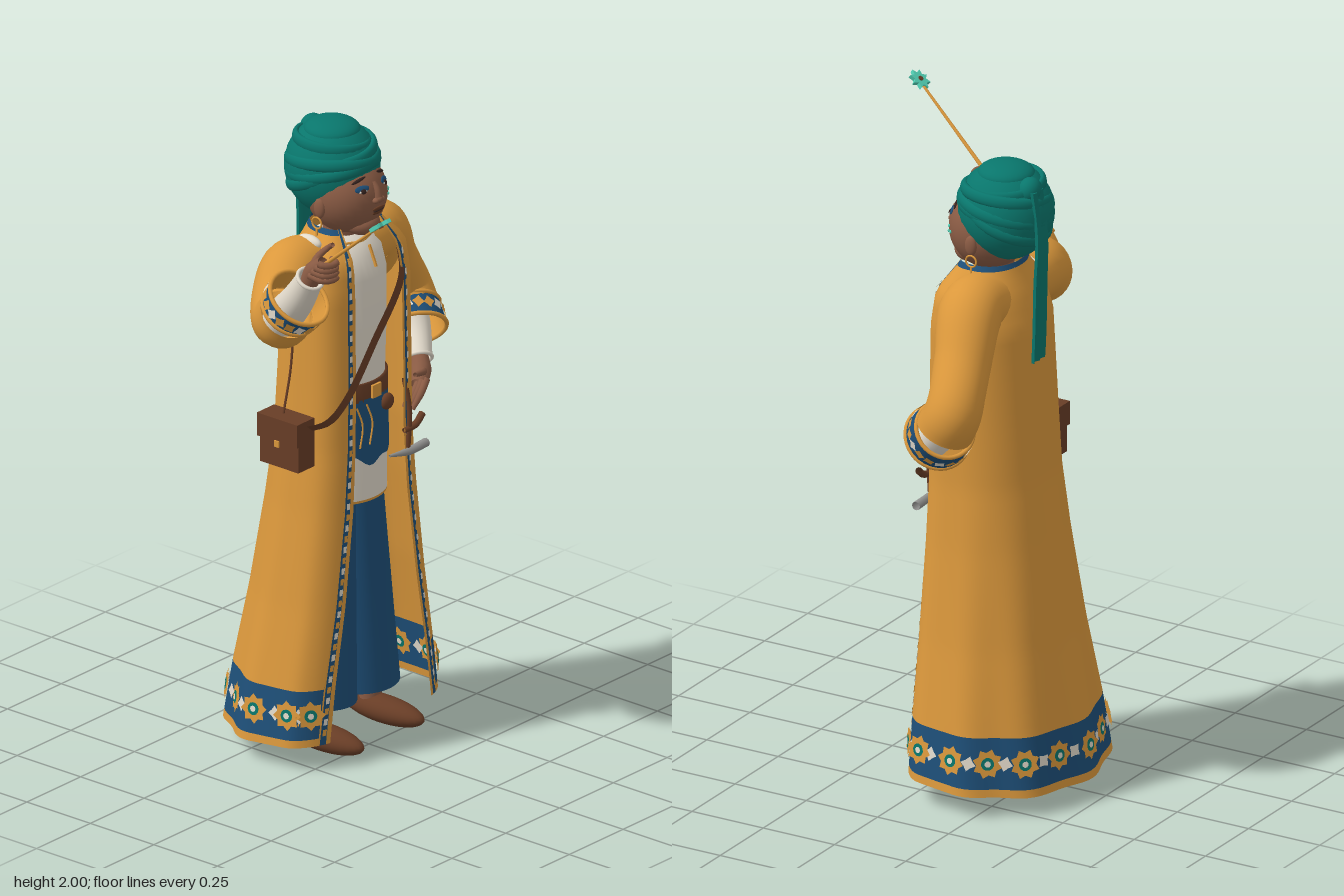
import * as THREE from 'three';

const V = (x, y, z) => new THREE.Vector3(x, y, z);
const mat = (name, color) => Object.assign(new THREE.MeshStandardMaterial({ color, side: THREE.DoubleSide }), { name });
const gold = mat('gold cloth', 0xdb983c), blue = mat('blue cloth', 0x1e4f78), teal = mat('teal cloth', 0x09766c);
const skin = mat('skin', 0x8a5b44), leather = mat('leather', 0x683d26), cream = mat('cream cloth', 0xe3dbcc);
const steel = mat('steel', 0x929290), mint = mat('mint', 0x52cfb4), dark = mat('dark', 0x33221e);

// Coat rings: y, half width, front z, back z, half opening
const RINGS = [
  [0.07, 0.355, 0.047, -0.457, 0.235], [0.25, 0.327, 0.044, -0.43, 0.21], [0.5, 0.28, 0.04, -0.385, 0.165],
  [0.8, 0.237, 0.033, -0.34, 0.125], [1.0, 0.216, 0.03, -0.315, 0.112], [1.2, 0.212, 0.03, -0.302, 0.11],
  [1.5, 0.208, 0.025, -0.283, 0.108], [1.6, 0.192, 0.012, -0.25, 0.1], [1.65, 0.14, -0.02, -0.225, 0.092], [1.69, 0.11, -0.045, -0.21, 0.085]];

// Point on the coat: u runs -1..1 from one front edge round the back to the other
function coatPoint(u, y) {
  let i = 0;
  while (i < RINGS.length - 2 && y > RINGS[i + 1][0]) i++;
  const a = RINGS[i], b = RINGS[i + 1], t = (y - a[0]) / (b[0] - a[0]);
  const [, w, zf, zb, g] = a.map((v, k) => v + (b[k] - v) * t);
  const zm = zf - 0.42 * (zf - zb);
  const phi = u * (Math.PI - Math.asin(Math.pow(g / w, 1 / 0.6)));
  const s = Math.sin(phi), c = Math.cos(phi), low = Math.max(0, 1 - y), p = c > 0 ? 0.94 + 0.08 * low : 0.6;
  const ripple = 1 + 0.03 * low * Math.cos(phi * 9) * Math.max(0, Math.min(1, c + 0.6));
  const z = zm - ripple * (c > 0 ? zm - zb : zf - zm) * Math.sign(c) * Math.abs(c) ** p;
  return V(0.02 + ripple * w * Math.sign(s) * Math.abs(s) ** p, y + 0.06 * (z + 0.2) * low * low, z);
}
function coatNormal(u, y) {
  const e = 0.004, u0 = Math.max(-1, u - e), u1 = Math.min(1, u + e);
  const du = coatPoint(u1, y).sub(coatPoint(u0, y));
  const dy = coatPoint(u, Math.min(1.69, y + e)).sub(coatPoint(u, Math.max(0.07, y - e)));
  const n = dy.cross(du).normalize(), p = coatPoint(u, y);
  return n.x * (p.x - 0.02) + n.z * (p.z + 0.15) < 0 ? n.negate() : n;
}

export function createModel() {
  const model = new THREE.Group();
  model.name = 'robedFigure';
  const add = (name, geo, m, x = 0, y = 0, z = 0, parent = model) => {
    const o = new THREE.Mesh(geo, m);
    o.name = name;
    o.position.set(x, y, z);
    parent.add(o);
    return o;
  };
  const ball = (name, m, x, y, z, rx, ry = rx, rz = rx) => {
    const o = add(name, new THREE.SphereGeometry(1, 28, 20), m, x, y, z);
    o.scale.set(rx, ry, rz);
    return o;
  };
  const box = (name, m, x, y, z, w, h, d) => add(name, new THREE.BoxGeometry(w, h, d), m, x, y, z);
  // Tube whose radius follows a list of values along its path
  const limb = (name, m, pts, radii, seg = 20, sides = 20) => {
    const curve = new THREE.CatmullRomCurve3(pts.map(p => V(...p)));
    const geo = new THREE.TubeGeometry(curve, seg, 1, sides), pos = geo.attributes.position, v = V();
    for (let i = 0; i < pos.count; i++) {
      const t = Math.floor(i / (sides + 1)) / seg, f = t * (radii.length - 1), k = Math.max(0, Math.min(radii.length - 2, Math.floor(f)));
      const r = radii.length > 1 ? radii[k] + (radii[k + 1] - radii[k]) * (f - k) : radii[0], c = curve.getPointAt(t);
      v.fromBufferAttribute(pos, i).sub(c).multiplyScalar(r).add(c);
      pos.setXYZ(i, v.x, v.y, v.z);
    }
    return add(name, geo, m);
  };
  const face = (o, n) => { o.quaternion.setFromUnitVectors(V(0, 0, 1), n); return o; };
  const star = (n, r, inner) => {
    const s = new THREE.Shape();
    for (let i = 0; i < n * 2; i++) {
      const a = i * Math.PI / n, q = i % 2 ? inner : r;
      s[i ? 'lineTo' : 'moveTo'](q * Math.sin(a), q * Math.cos(a));
    }
    return s;
  };

  // Coat in patches: body, front borders and hem
  const patch = (name, m, u0, u1, y0, y1, nu, ny, off = 0) => {
    const geo = new THREE.PlaneGeometry(1, 1, nu, ny), pos = geo.attributes.position;
    for (let i = 0; i < pos.count; i++) {
      const u = u0 + (u1 - u0) * (pos.getX(i) + 0.5), y = y0 + (y1 - y0) * (pos.getY(i) + 0.5);
      const p = coatPoint(u, y);
      if (off) p.addScaledVector(coatNormal(u, y), off);
      pos.setXYZ(i, p.x, p.y, p.z);
    }
    geo.computeVertexNormals();
    return add(name, geo, m);
  };
  patch('coatBody', gold, -0.93, 0.93, 0.25, 1.675, 72, 48);
  patch('coatHemBand', blue, -0.93, 0.93, 0.094, 0.25, 72, 4);
  patch('coatHemEdge', gold, -0.93, 0.93, 0.07, 0.094, 72, 1);
  patch('collarBand', blue, -0.93, 0.93, 1.675, 1.69, 40, 1);
  for (const s of [-1, 1]) {
    patch('frontBorderInner', gold, s * 0.93, s * 0.94, 0.07, 1.69, 1, 40);
    patch('frontBorder', blue, s * 0.94, s * 0.976, 0.07, 1.69, 2, 40);
    patch('frontEdge', gold, s * 0.976, s, 0.07, 1.69, 1, 40);
    for (let y = 0.1, i = 0; y < 1.62; y += 0.034, i++)
      patch('borderStitch', i % 2 ? cream : gold, s * 0.947, s * 0.969, y, y + 0.02, 1, 1, 0.004);
  }
  const rosette = new THREE.ShapeGeometry(star(8, 0.047, 0.035)), diamond = new THREE.ShapeGeometry(star(4, 0.024, 0.015));
  const hub = new THREE.CircleGeometry(0.02, 12), dot = new THREE.CircleGeometry(0.01, 8);
  for (let i = 0; i < 25; i++) {
    const u = -0.86 + i * 1.72 / 24, p = coatPoint(u, 0.173), n = coatNormal(u, 0.173);
    for (const side of [1, -1]) {
      const put = (name, geo, m, d) => face(add(name, geo, m, ...p.clone().addScaledVector(n, d * side).toArray()), n);
      if (i % 2) put('hemDiamond', diamond, cream, 0.006);
      else {
        put('hemRosette', rosette, gold, 0.007);
        put('rosetteHub', hub, teal, 0.01);
        put('rosetteDot', dot, cream, 0.012);
      }
    }
  }

  // Shirt, belt, sash and trousers
  const lathe = (name, m, prof, sz) => {
    const o = add(name, new THREE.LatheGeometry(prof.map(p => new THREE.Vector2(...p)), 40), m, 0.02, 0, -0.13);
    o.scale.z = sz;
    return o;
  };
  lathe('shirt', cream, [[0.147, 0.8], [0.147, 0.95], [0.14, 1.15], [0.146, 1.35], [0.146, 1.52], [0.13, 1.59], [0.09, 1.635], [0.055, 1.65]], 0.92);
  lathe('shirtHem', gold, [[0.148, 0.798], [0.149, 0.806]], 0.92);
  lathe('belt', leather, [[0.14, 1.125], [0.151, 1.127], [0.151, 1.183], [0.14, 1.185]], 0.92);
  const sashGeo = new THREE.CylinderGeometry(0.148, 0.152, 0.2, 24, 1, true, -1.2, 2.4), sp = sashGeo.attributes.position;
  for (let i = 0; i < sp.count; i++) if (sp.getY(i) < 0) sp.setY(i, -0.11 + 3 * sp.getX(i) ** 2 + 0.01 * Math.sin(sp.getX(i) * 60));
  add('sash', sashGeo, blue, 0.02, 1.035, -0.13).scale.z = 0.94;
  box('buckle', gold, 0.02, 1.155, 0.01, 0.04, 0.042, 0.012);
  ball('beltPouch', leather, 0.075, 1.1, 0.008, 0.026, 0.026, 0.016);
  for (const x of [-0.065, -0.02]) limb('beltChain', gold, [[x, 1.12, 0.008], [x + 0.018, 1.06, 0.015], [x + 0.005, 0.99, 0.016]], [0.003], 10, 6);
  box('shirtPlacket', gold, 0.022, 1.59, -0.004, 0.006, 0.07, 0.008).rotation.x = -0.4;
  limb('neckline', gold, [[-0.05, 1.635, -0.06], [0.02, 1.63, -0.042], [0.09, 1.635, -0.06]], [0.004], 10, 6);
  for (const [x, z] of [[-0.13, -0.125], [0.173, -0.145]]) ball('shoulderLining', cream, x, 1.652, z, 0.02, 0.022, 0.045);
  for (const s of [-1, 1]) {
    limb('trouserLeg', blue, [[0.02 + s * 0.06, 0.86, -0.13], [0.02 + s * 0.08, 0.5, -0.13], [0.02 + s * 0.1, 0.14, -0.125]], [0.085, 0.1, 0.112], 14, 28);
    limb('ankle', skin, [[0.02 + s * 0.14, 0.2, -0.13], [0.02 + s * 0.14, 0.05, -0.13]], [0.038, 0.034], 4, 16);
    ball('shoe', leather, 0.02 + s * 0.14, 0.042, -0.076, 0.05, 0.042, 0.154);
  }

  // Sleeves with open patterned cuffs, shirt sleeves under them
  const sleeve = (pts, radii, cuffEnd, wrist) => {
    const end = pts[pts.length - 1], r = radii[radii.length - 1], a = V(...end), b = V(...cuffEnd), dir = b.clone().sub(a).normalize();
    limb('sleeve', gold, pts, radii, 28, 28);
    limb('cuff', blue, [end, cuffEnd], [r, r + 0.01], 4, 28);
    limb('cuffLining', gold, [end, cuffEnd], [r - 0.006, r + 0.005], 4, 28);
    for (const [c, q] of [[a, r], [b, r + 0.009]]) face(add('cuffTrim', new THREE.TorusGeometry(q, 0.007, 8, 36), gold, c.x, c.y, c.z), dir);
    const ring = new THREE.Group();
    ring.name = 'cuffPattern';
    ring.position.copy(a).add(b).multiplyScalar(0.5);
    face(ring, dir);
    model.add(ring);
    for (let i = 0; i < 18; i++) {
      const t = i * Math.PI / 9, n = V(Math.cos(t), Math.sin(t), 0);
      face(add('cuffDiamond', diamond, i % 3 ? gold : cream, n.x * (r + 0.01), n.y * (r + 0.01), 0, ring), n).scale.setScalar(0.85);
    }
    limb('shirtSleeve', cream, [pts[pts.length - 2], cuffEnd, wrist], [0.06, 0.053, 0.041], 10);
    const w = V(...wrist);
    face(add('shirtCuff', new THREE.TorusGeometry(0.04, 0.006, 8, 24), cream, w.x, w.y, w.z), w.clone().sub(b).normalize());
  };
  sleeve([[-0.1, 1.57, -0.14], [-0.19, 1.572, -0.14], [-0.28, 1.52, -0.105], [-0.355, 1.495, -0.045], [-0.38, 1.545, 0.005]],
    [0.09, 0.098, 0.093, 0.09, 0.088], [-0.382, 1.598, 0.047], [-0.392, 1.68, 0.1]);
  sleeve([[0.1, 1.575, -0.145], [0.2, 1.578, -0.15], [0.302, 1.45, -0.18], [0.392, 1.32, -0.2], [0.39, 1.26, -0.17]],
    [0.09, 0.098, 0.088, 0.085, 0.09], [0.352, 1.21, -0.12], [0.305, 1.145, -0.062]);

  // Raised hand with wand
  limb('rightPalm', skin, [[-0.39, 1.67, 0.095], [-0.39, 1.71, 0.12], [-0.385, 1.74, 0.15]], [0.028, 0.034, 0.024], 10, 16);
  for (let i = 0; i < 4; i++) {
    const y = 1.70 + i * 0.016;
    limb('rightFinger', skin, [[-0.42, y + 0.005, 0.12 + i * 0.012], [-0.412, y, 0.175], [-0.375, y, 0.188], [-0.352, y, 0.15]], [0.011, 0.012, 0.01, 0.007], 10, 10);
  }
  limb('rightThumb', skin, [[-0.39, 1.72, 0.11], [-0.34, 1.735, 0.09], [-0.31, 1.758, 0.105], [-0.315, 1.772, 0.125]], [0.014, 0.012, 0.01, 0.007], 12, 10);
  limb('wand', gold, [[-0.382, 1.695, 0.1], [-0.455, 1.965, 0.43]], [0.007, 0.004], 4, 10);
  const tip = face(add('wandStar', new THREE.ExtrudeGeometry(star(8, 0.036, 0.022), { depth: 0.012, bevelEnabled: false }), mint, -0.455, 1.962, 0.433), V(0, 0.78, -0.62).normalize());
  add('wandStarHub', new THREE.CylinderGeometry(0.008, 0.008, 0.018, 12), leather, 0, 0, 0.006, tip).rotation.x = Math.PI / 2;

  // Hand on hip
  limb('leftPalm', skin, [[0.315, 1.15, -0.07], [0.28, 1.12, -0.035], [0.245, 1.095, -0.01]], [0.028, 0.034, 0.026], 10, 16);
  for (let i = 0; i < 4; i++)
    limb('leftFinger', skin, [[0.26, 1.11 - i * 0.012, 0.005 - i * 0.016], [0.225, 1.08 - i * 0.008, 0.015 - i * 0.016], [0.19 + i * 0.006, 1.035 - i * 0.004, 0.01 - i * 0.016]], [0.012, 0.011, 0.007], 8, 10);
  limb('leftThumb', skin, [[0.285, 1.12, -0.03], [0.25, 1.135, 0.0], [0.2, 1.145, 0.012]], [0.014, 0.011, 0.007], 8, 10);

  // Dagger hung from the belt
  limb('daggerStrap', leather, [[0.15, 1.15, 0.012], [0.155, 1.05, 0.028], [0.15, 0.93, 0.026]], [0.008], 8, 8);
  limb('daggerHilt', leather, [[0.13, 0.99, 0.028], [0.18, 0.995, 0.03], [0.215, 1.02, 0.028]], [0.008, 0.011, 0.011], 8, 10);
  limb('daggerBlade', steel, [[0.24, 0.915, 0.022], [0.15, 0.915, 0.026], [0.07, 0.925, 0.022]], [0.014, 0.013, 0.004], 10, 8);

  // Satchel and strap
  box('satchel', leather, -0.232, 1.032, -0.125, 0.075, 0.145, 0.15);
  box('satchelFlap', leather, -0.24, 1.083, -0.125, 0.08, 0.075, 0.158);
  box('satchelClasp', gold, -0.282, 1.04, -0.125, 0.005, 0.02, 0.018);
  const strap = new THREE.CatmullRomCurve3([V(0.16, 1.58, -0.02), V(0.12, 1.5, 0.026), V(-0.02, 1.33, 0.036), V(-0.15, 1.18, 0.036), V(-0.2, 1.12, 0.01), V(-0.225, 1.085, -0.06)]);
  const strapGeo = new THREE.PlaneGeometry(1, 1, 1, 30), bp = strapGeo.attributes.position;
  for (let i = 0; i < bp.count; i++) {
    const c = strap.getPointAt(0.5 - bp.getY(i)), q = bp.getX(i) * 0.034;
    bp.setXYZ(i, c.x - q * 0.76, c.y + q * 0.65, c.z);
  }
  strapGeo.computeVertexNormals();
  add('strapFront', strapGeo, leather);
  limb('strapBack', leather, [[-0.185, 1.38, -0.14], [-0.2, 1.25, -0.14], [-0.235, 1.11, -0.14]], [0.004], 10, 6);

  // Head and face
  limb('neck', skin, [[0.02, 1.58, -0.13], [0.02, 1.72, -0.12]], [0.06, 0.055], 4, 20);
  ball('head', skin, 0.02, 1.775, -0.105, 0.122, 0.125, 0.125);
  ball('chin', skin, 0.02, 1.69, -0.045, 0.056, 0.037, 0.055);
  const faceZ = (x, y) => -0.105 + 0.125 * Math.sqrt(Math.max(0, 1 - ((x - 0.02) / 0.122) ** 2 - ((y - 1.775) / 0.125) ** 2));
  const mark = (name, m, x, y, rx, ry, lift = 0, roll = 0) => {
    const n = V((x - 0.02) / 0.0149, (y - 1.775) / 0.0156, (faceZ(x, y) + 0.105) / 0.0156).normalize();
    const o = face(add(name, new THREE.SphereGeometry(1, 16, 10), m, x, y, faceZ(x, y) + lift), n);
    o.scale.set(rx, ry, 0.004);
    o.rotateZ(roll);
  };
  for (const s of [-1, 1]) {
    const x = 0.02 + s * 0.05;
    mark('eyeShadow', blue, x, 1.824, 0.024, 0.011);
    mark('eye', cream, x, 1.817, 0.014, 0.005, 0.002);
    mark('iris', dark, x, 1.818, 0.009, 0.008, 0.004);
    mark('brow', dark, x, 1.848, 0.026, 0.005, 0.001, -s * 0.2);
    ball('nostril', skin, 0.02 + s * 0.013, 1.781, 0.02, 0.011, 0.009, 0.012);
    ball('ear', skin, 0.02 + s * 0.12, 1.755, -0.11, 0.012, 0.032, 0.02);
    add('earring', new THREE.TorusGeometry(0.018, 0.003, 8, 20), gold, 0.02 + s * 0.127, 1.708, -0.115).rotation.y = Math.PI / 2;
    box('earringDrop', gold, 0.02 + s * 0.127, 1.673, -0.115, 0.005, 0.036, 0.005);
  }
  limb('nose', skin, [[0.02, 1.835, 0.001], [0.02, 1.81, 0.016], [0.02, 1.785, 0.022]], [0.008, 0.011, 0.013], 8, 12);
  ball('noseTip', skin, 0.02, 1.785, 0.023, 0.013);
  mark('upperLip', leather, 0.02, 1.753, 0.028, 0.006, 0.002);
  mark('mouthLine', dark, 0.02, 1.747, 0.026, 0.002, 0.004);
  mark('lowerLip', leather, 0.02, 1.74, 0.023, 0.008, 0.002);
  for (const [x, y] of [[0.1, 1.785], [0.112, 1.772], [0.098, 1.768]]) mark('cheekDot', mint, x, y, 0.005, 0.005, 0.001);

  // Turban: wrapped body, bands, crown, knot and hanging tail
  ball('turban', teal, 0.02, 1.843, -0.162, 0.14, 0.153, 0.149);
  const wrap = (y, z, rx, rz, tilt, roll) => {
    const o = add('turbanWrap', new THREE.TorusGeometry(1, 0.1, 12, 48), teal, 0.02, y, z);
    o.rotation.set(Math.PI / 2 + tilt, roll, 0);
    o.scale.set(rx, rz, 0.2);
  };
  wrap(1.855, -0.16, 0.13, 0.139, -0.2, 0.1);
  wrap(1.87, -0.16, 0.128, 0.137, -0.12, -0.14);
  wrap(1.9, -0.162, 0.121, 0.129, -0.05, 0.14);
  wrap(1.93, -0.163, 0.106, 0.112, 0.04, -0.1);
  wrap(1.83, -0.165, 0.13, 0.134, -0.42, 0.05);
  ball('turbanCrown', teal, 0.02, 1.962, -0.162, 0.085, 0.038, 0.088);
  ball('turbanKnot', teal, 0.045, 1.935, -0.26, 0.042, 0.04, 0.036);
  const tail = new THREE.BoxGeometry(0.06, 0.54, 0.01, 4, 16, 1), tp = tail.attributes.position;
  for (let i = 0; i < tp.count; i++) {
    const t = 0.5 - tp.getY(i) / 0.54;
    tp.setX(i, tp.getX(i) * (0.95 - 0.15 * Math.sin(t * 5)) + 0.02 * t);
    tp.setZ(i, tp.getZ(i) - 0.025 * Math.sin(Math.min(1, t * 2.5) * Math.PI / 2) + 0.012 * t + 0.004 * Math.cos(tp.getX(i) * 180));
  }
  tail.computeVertexNormals();
  add('turbanTail', tail, teal, 0.05, 1.67, -0.288);
  return model;
}
